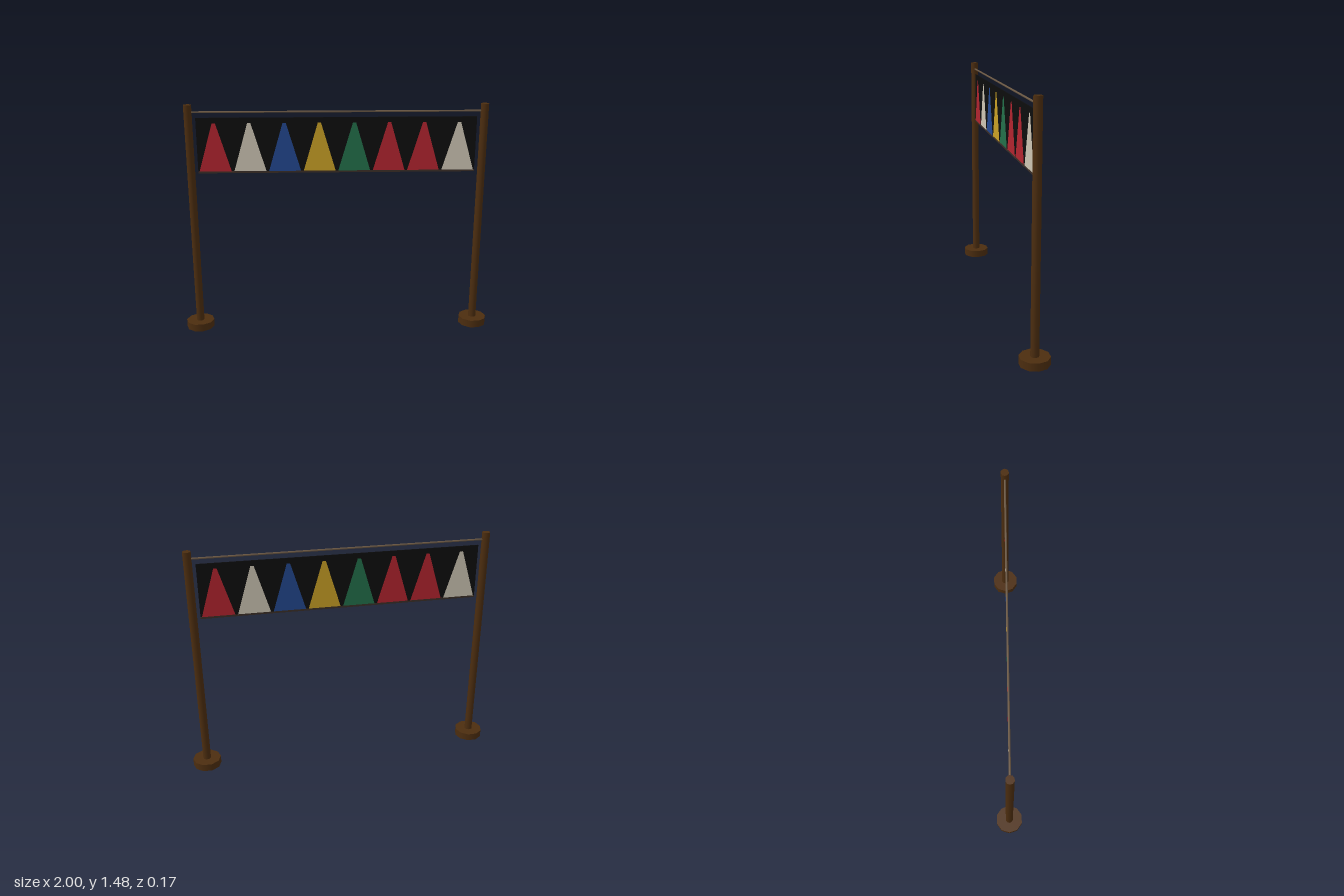
import * as THREE from 'three';

const mat = (name, color, side = THREE.FrontSide) => {
  const m = new THREE.MeshStandardMaterial({ color, side });
  m.name = name;
  return m;
};

export function createModel() {
  const group = new THREE.Group();
  group.name = 'pennantBanner';
  const wood = mat('darkWood', 0x4c2d0f);
  const cord = mat('cord', 0x6b5844);
  const hem = mat('hem', 0x3a2e27);
  const black = mat('blackCloth', 0x0d0d0d);
  const red = mat('red', 0xb3242f);
  const white = mat('cream', 0xcdc5b4);
  const blue = mat('blue', 0x23478f);
  const gold = mat('gold', 0xc9a025);
  const green = mat('green', 0x23704a);

  const add = (name, geometry, material, x, y, z, parent = group) => {
    const mesh = new THREE.Mesh(geometry, material);
    mesh.name = name;
    mesh.position.set(x, y, z);
    parent.add(mesh);
    return mesh;
  };

  // Two posts on round feet, with a corner of each ten-sided ring along x
  const post = new THREE.CylinderGeometry(0.025, 0.025, 1.48, 10).rotateY(Math.PI / 2);
  const foot = new THREE.CylinderGeometry(0.09, 0.09, 0.048, 10).rotateY(Math.PI / 2);
  for (const [side, x] of [['left', 0.91], ['right', -0.91]]) {
    add(side + 'Post', post, wood, x, 0.74, 0);
    add(side + 'Foot', foot, wood, x, 0.024, 0);
  }

  // Cord between the posts
  add('topCord', new THREE.CylinderGeometry(0.006, 0.006, 1.82, 6).rotateZ(Math.PI / 2), cord, 0, 1.435, 0);

  // Cloth panel with a hem along its lower edge
  const width = 1.73;
  add('cloth', new THREE.BoxGeometry(width, 0.345, 0.006), black, 0, 1.2275, 0);
  add('hem', new THREE.BoxGeometry(width, 0.012, 0.009), hem, 0, 1.058, 0);

  // Pennants, running left to right as seen from either face
  const shape = new THREE.Shape();
  shape.moveTo(-0.1, 1.064);
  shape.lineTo(0.1, 1.064);
  shape.lineTo(0.01, 1.367);
  shape.lineTo(-0.01, 1.367);
  const pennant = new THREE.ShapeGeometry(shape);
  const colours = [red, white, blue, gold, green, red, red, white];
  const cell = width / colours.length;
  for (const [name, turn] of [['frontPennants', 0], ['backPennants', Math.PI]]) {
    const row = new THREE.Group();
    row.name = name;
    row.rotation.y = turn;
    colours.forEach((c, i) => add('pennant', pennant, c, (i + 0.5) * cell - width / 2, 0, 0.0045, row));
    group.add(row);
  }
  return group;
}
